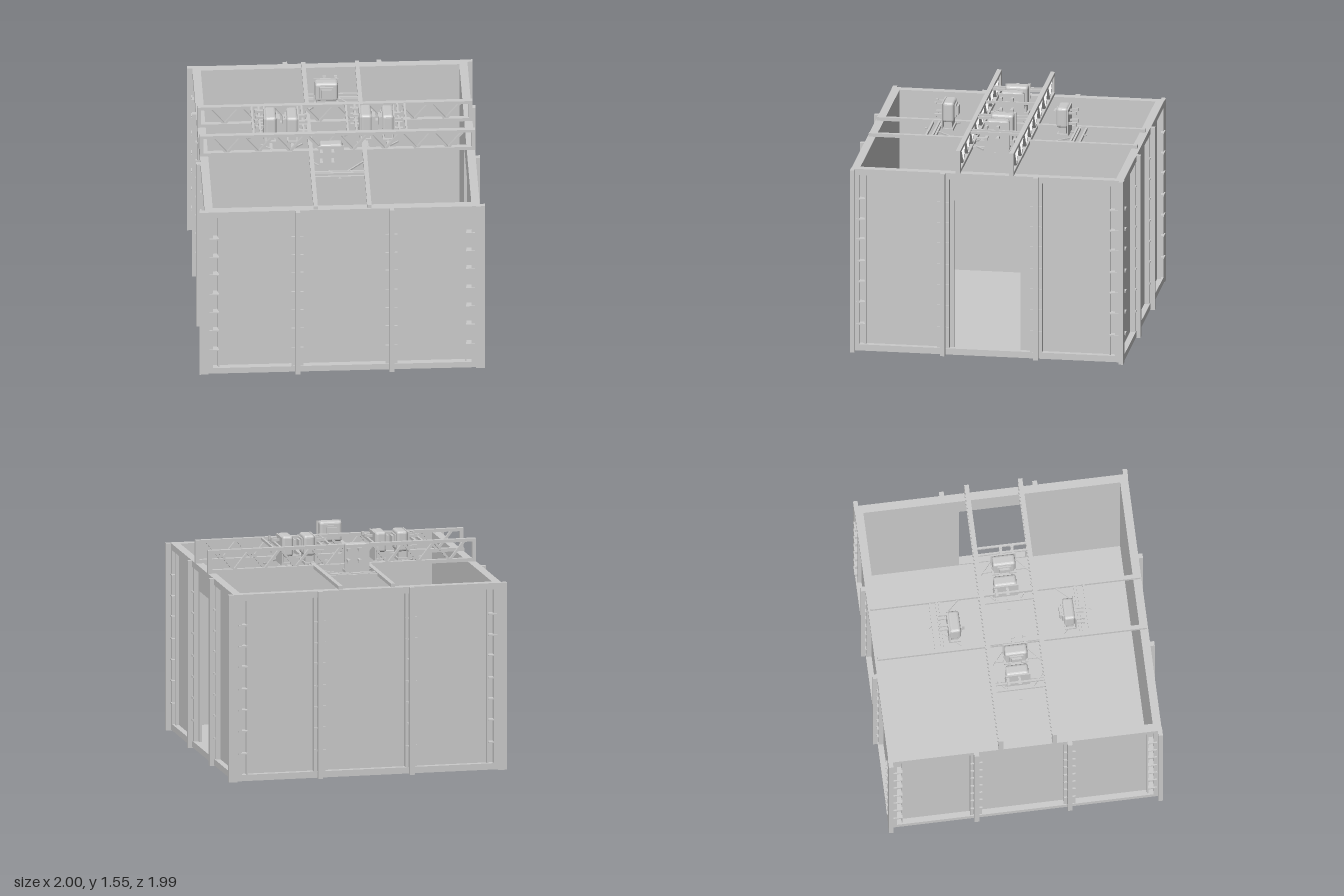
import * as THREE from 'three';
import { RoundedBoxGeometry } from 'three/addons/geometries/RoundedBoxGeometry.js';

const mat = new THREE.MeshStandardMaterial({ color: 0xcccccc, flatShading: true });

function add(parent, name, geometry) {
  const mesh = new THREE.Mesh(geometry, mat);
  mesh.name = name;
  parent.add(mesh);
  return mesh;
}

// Box given by its extents on each axis
function box(parent, name, x0, x1, y0, y1, z0, z1) {
  const mesh = add(parent, name, new THREE.BoxGeometry(x1 - x0, y1 - y0, z1 - z0));
  mesh.position.set((x0 + x1) / 2, (y0 + y1) / 2, (z0 + z1) / 2);
  return mesh;
}

// Square bar between two points
function bar(parent, name, a, b, size, height = size) {
  const from = new THREE.Vector3(...a), to = new THREE.Vector3(...b);
  const mesh = add(parent, name, new THREE.BoxGeometry(size, height, from.distanceTo(to)));
  mesh.position.copy(from).add(to).multiplyScalar(0.5);
  mesh.lookAt(to);
  return mesh;
}

function group(parent, name) {
  const g = new THREE.Group();
  g.name = name;
  parent.add(g);
  return g;
}

const HALF = 0.963, INNER = 0.905, TOP = 1.335;
const RUNGS = [0.2, 0.36, 0.51, 0.66, 0.82, 0.965, 1.115];

function rect(path, x0, x1, y0, y1) {
  path.moveTo(x0, y0).lineTo(x1, y0).lineTo(x1, y1).lineTo(x0, y1).closePath();
  return path;
}

// One wall facing +z: sheet, rails, panel frames, posts and corner rungs
function wall(parent, name, angle, posts, hasDoor) {
  const g = group(parent, name);
  const shape = rect(new THREE.Shape(), -INNER, INNER, 0.01, TOP - 0.01);
  if (hasDoor) shape.holes.push(rect(new THREE.Path(), -0.24, 0.23, 0.048, 1.125));
  add(g, 'wallSheet', new THREE.ExtrudeGeometry(shape, { depth: 0.018, bevelEnabled: false }))
    .position.z = INNER;

  box(g, 'topRail', -HALF, HALF, 1.29, TOP, INNER, HALF);
  box(g, 'bottomRail', -HALF, HALF, 0.005, 0.05, INNER, HALF);

  // Dividing posts with panel frames and bolts on both sides
  for (const x of posts) {
    box(g, 'dividingPost', x - 0.017, x + 0.017, 0, TOP, 0.945, 0.993);
    for (const s of [-1, 1]) {
      const c = x + s * 0.03;
      box(g, 'panelFrame', c - 0.012, c + 0.012, 0.05, 1.29, INNER, 0.957);
      for (const y of RUNGS) {
        box(g, 'frameBolt', c - 0.012, c + 0.012, y - 0.006, y + 0.006, 0.95, 0.968);
      }
    }
  }

  // Corner strips with rungs
  for (const s of [-1, 1]) {
    box(g, 'cornerFrame', s * 0.945 - 0.018, s * 0.945 + 0.018, 0.005, TOP, INNER, HALF);
    box(g, 'stripFrame', s * 0.865 - 0.006, s * 0.865 + 0.006, 0.05, 1.29, INNER, 0.95);
    for (const y of RUNGS) {
      box(g, 'rung', s * 0.897 - 0.032, s * 0.897 + 0.032, y - 0.005, y + 0.005, 0.92, 0.972);
    }
  }
  g.rotation.y = angle;
}

// Warren truss along x
function truss(parent, z) {
  const g = group(parent, 'truss');
  box(g, 'bottomChord', -HALF, HALF, TOP, 1.36, -0.016, 0.016);
  box(g, 'topChord', -HALF, HALF, 1.478, 1.5, -0.016, 0.016);
  for (const s of [-1, 1]) {
    box(g, 'endUpright', s * 0.95 - 0.013, s * 0.95 + 0.013, TOP, 1.5, -0.016, 0.016);
  }
  const step = 1.77 / 16;
  for (let i = 0; i < 16; i++) {
    const x = -0.885 + i * step;
    const ya = i % 2 ? 1.35 : 1.488, yb = i % 2 ? 1.488 : 1.35;
    bar(g, 'trussDiagonal', [x, ya, 0], [x + step, yb, 0], 0.02, 0.016);
  }
  g.position.z = z;
}

// Device with its lens towards -z and its mounting hooks towards +z
function projector(parent, x, z, angle) {
  const g = group(parent, 'projector');
  add(g, 'projectorBody', new RoundedBoxGeometry(0.16, 0.145, 0.078, 2, 0.018)).position.y = 1.4775;
  box(g, 'backPlate', -0.088, 0.088, 1.36, 1.545, 0.037, 0.047);
  box(g, 'neck', -0.07, 0.07, 1.36, 1.42, -0.025, 0.03);
  box(g, 'foot', -0.085, 0.085, 1.345, 1.362, -0.035, 0.047);
  box(g, 'lensFrame', -0.048, 0.048, 1.435, 1.525, -0.05, -0.035);
  box(g, 'lens', -0.035, 0.035, 1.447, 1.513, -0.066, -0.045);
  for (const hx of [-0.07, 0.01]) {
    for (const [y, dir] of [[1.44, -1], [1.515, 1]]) {
      box(g, 'hookArm', hx - 0.009, hx + 0.009, y - 0.008, y + 0.008, 0.045, 0.1);
      const t = y + dir * 0.004;
      box(g, 'hookTip', hx - 0.011, hx + 0.011, t - 0.012, t + 0.012, 0.09, 0.106);
    }
  }
  g.position.set(x, 0, z);
  g.rotation.y = angle;
}

// Small flat pointer
function pointer(parent, x, z, angle) {
  const m = add(parent, 'pointer', new THREE.CylinderGeometry(0.014, 0.014, 0.01, 3));
  m.position.set(x, 1.35, z);
  m.rotation.y = angle;
}

export function createModel() {
  const model = new THREE.Group();
  model.name = 'openRoomWithOverheadRig';
  const Q = Math.PI / 2;

  // Room
  box(model, 'floor', -HALF, HALF, 0.005, 0.035, -HALF, HALF);
  const posts = [-0.313, 0.345], mirrored = [0.313, -0.345];
  wall(model, 'frontWall', 0, posts, false);
  wall(model, 'leftWall', Q, posts, true);
  wall(model, 'backWall', 2 * Q, mirrored, false);
  wall(model, 'rightWall', -Q, mirrored, false);
  for (const sx of [-1, 1]) {
    for (const sz of [-1, 1]) {
      box(model, 'cornerPost', sx * 0.968 - 0.032, sx * 0.968 + 0.032, 0, TOP,
        sz * 0.95 - 0.016, sz * 0.95 + 0.016);
    }
  }

  // Overhead beams and trusses
  for (const x of [-0.186, 0.19]) {
    box(model, 'longBeam', x - 0.015, x + 0.015, TOP, 1.36, -0.945, 0.955);
  }
  truss(model, -0.171);
  truss(model, 0.207);

  // Cross bars and corner braces between the trusses
  for (const [outer, left, right] of [[-0.585, -0.537, -0.235], [0.075, 0.135, 0.435]]) {
    for (const x of [left, right]) {
      box(model, 'hangingBar', x - 0.007, x + 0.007, 1.48, 1.498, -0.16, 0.195);
    }
    const far = outer < 0 ? outer : 0.485;
    box(model, 'crossBar', far - 0.007, far + 0.007, 1.48, 1.498, -0.16, 0.195);
    if (outer > 0) box(model, 'crossBar', outer - 0.007, outer + 0.007, 1.48, 1.498, -0.16, 0.195);
    const mid = (left + right) / 2;
    for (const sx of [-1, 1]) {
      for (const sz of [-1, 1]) {
        bar(model, 'cornerBrace', [mid + sx * 0.045, 1.348, 0.018 + sz * 0.175],
          [mid + sx * 0.145, 1.348, 0.018 + sz * 0.09], 0.01);
      }
      box(model, 'footBar', mid + sx * 0.075 - 0.01, mid + sx * 0.075 + 0.01, 1.337, 1.35, -0.16, 0.195);
    }
  }

  // Cross bars and braces between the long beams
  for (const [s, off] of [[1, 0.025], [-1, 0]]) {
    for (const z of [0.465, 0.485, 0.53]) {
      const c = s * z + off * s;
      box(model, 'crossBar', -0.175, 0.178, 1.337, 1.355, c - 0.007, c + 0.007);
    }
    for (const sx of [-1, 1]) {
      bar(model, 'beamBrace', [sx * 0.062, 1.347, s * (0.455 + off)],
        [sx * 0.175, 1.347, s * (0.335 + off)], 0.01);
    }
  }

  // Projectors
  projector(model, -0.055, 0.42, 0);
  projector(model, -0.05, -0.385, 2 * Q);
  for (const [a, b] of [[-0.46, -0.31], [0.208, 0.36]]) {
    projector(model, a, 0.005, -Q);
    projector(model, b, 0.015, Q);
  }

  // Pointers
  pointer(model, 0, 0.58, 2 * Q);
  pointer(model, 0, -0.55, 0);
  for (const x of [-0.61, 0.065]) pointer(model, x, 0.015, Q);
  for (const x of [-0.155, 0.51]) pointer(model, x, 0.015, -Q);
  return model;
}
